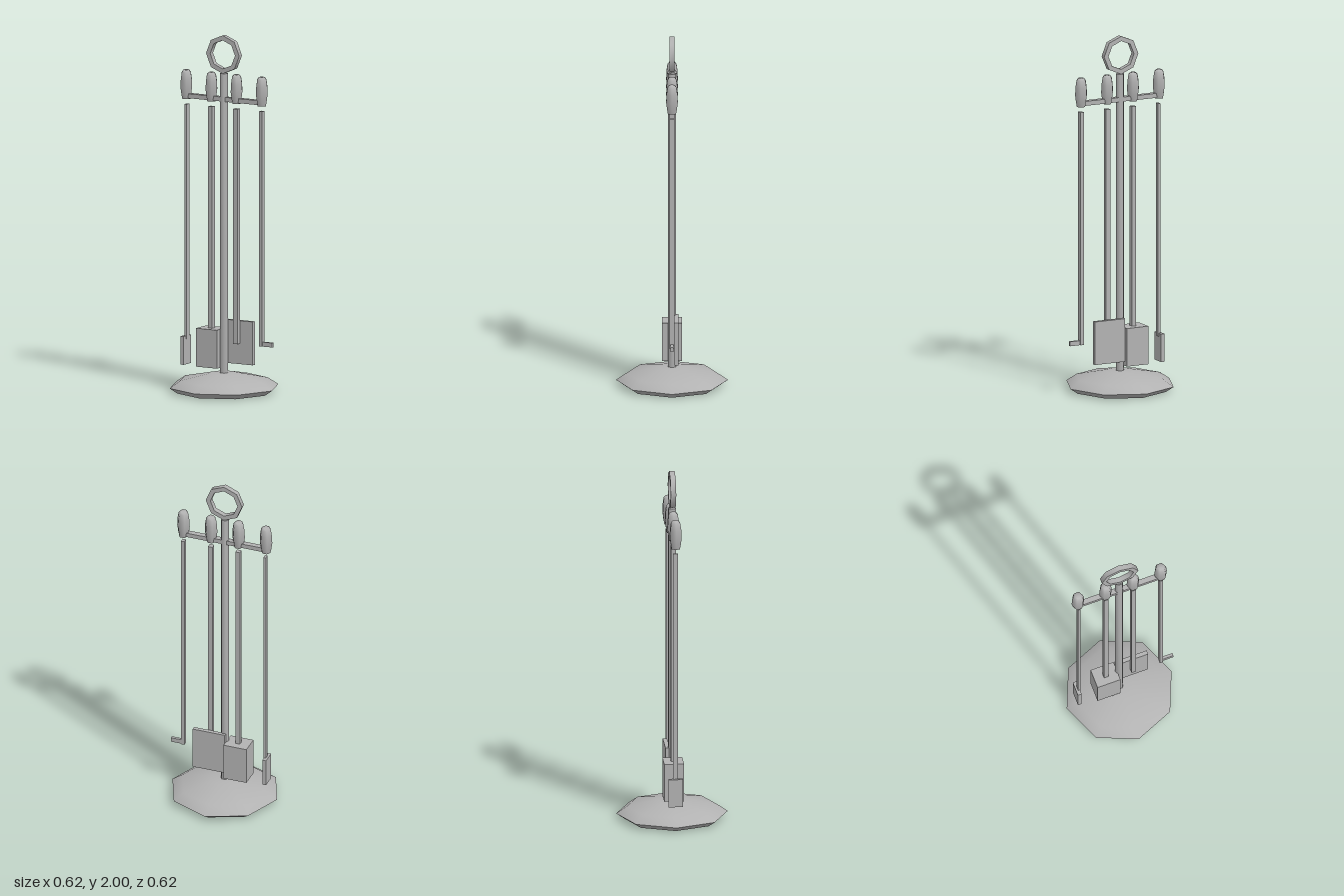
import * as THREE from 'three';
import { toCreasedNormals } from 'three/addons/utils/BufferGeometryUtils.js';

const CX = -0.004; // axis of the stand

export function createModel() {
  const group = new THREE.Group();
  const iron = new THREE.MeshStandardMaterial({ color: 0xb2b2b2 });
  iron.name = 'grey iron';

  const add = (name, geometry, x, y, z) => {
    const mesh = new THREE.Mesh(geometry, iron);
    mesh.name = name;
    mesh.position.set(x, y, z);
    group.add(mesh);
    return mesh;
  };
  // box given by its limits on each axis
  const box = (name, [x0, x1], [y0, y1], [z0, z1]) =>
    add(name, new THREE.BoxGeometry(x1 - x0, y1 - y0, z1 - z0),
      (x0 + x1) / 2, (y0 + y1) / 2, (z0 + z1) / 2);
  const lathe = (points, sides, start = 0) => toCreasedNormals(
    new THREE.LatheGeometry(points.map(([r, y]) => new THREE.Vector2(r, y)), sides, start), 1.1);

  // Eight-sided weighted base
  add('base', lathe([[0, 0.005], [0.265, 0.005], [0.309, 0.035], [0.25, 0.075],
    [0.08, 0.11], [0, 0.112]], 8), CX, 0, 0);

  // Central six-sided pole and crossbar
  add('pole', lathe([[0, 0.1], [0.024, 0.1], [0.024, 1.787], [0, 1.787]], 6, Math.PI / 2), CX, 0, 0);
  box('crossbar', [-0.247, 0.24], [1.63, 1.655], [-0.015, 0.015]);

  // Carrying ring
  const ring = add('ring', lathe([[0.08, -0.015], [0.107, -0.015], [0.107, 0.015],
    [0.08, 0.015], [0.08, -0.015]], 8), CX, 1.893, 0);
  ring.rotation.x = Math.PI / 2;

  // Tools: handle knob above the crossbar, rod below it
  const knob = lathe([[0, 1.625], [0.026, 1.625], [0.031, 1.65], [0.037, 1.69],
    [0.035, 1.735], [0.029, 1.772], [0.018, 1.786], [0, 1.786]], 6, Math.PI / 2);
  const tools = [
    ['tongs', -0.247, -0.251, -0.236, 0.28],
    ['brush', -0.085, -0.098, -0.072, 0.35],
    ['shovel', 0.077, 0.064, 0.09, 0.28],
    ['poker', 0.24, 0.23, 0.25, 0.28],
  ];
  for (const [name, x, x0, x1, bottom] of tools) {
    add(name + 'Knob', knob, x, 0, 0);
    box(name + 'Rod', [x0, x1], [bottom, 1.595], [-0.014, 0.014]);
  }

  // Working ends
  box('tongsEnd', [-0.262, -0.24], [0.14, 0.298], [-0.04, 0.04]);
  box('brushHead', [-0.152, -0.017], [0.14, 0.355], [-0.055, 0.055]);
  box('shovelBlade', [-0.017, 0.172], [0.165, 0.408], [-0.037, -0.014]);
  box('pokerHook', [0.23, 0.312], [0.28, 0.305], [-0.008, 0.008]);

  return group;
}
